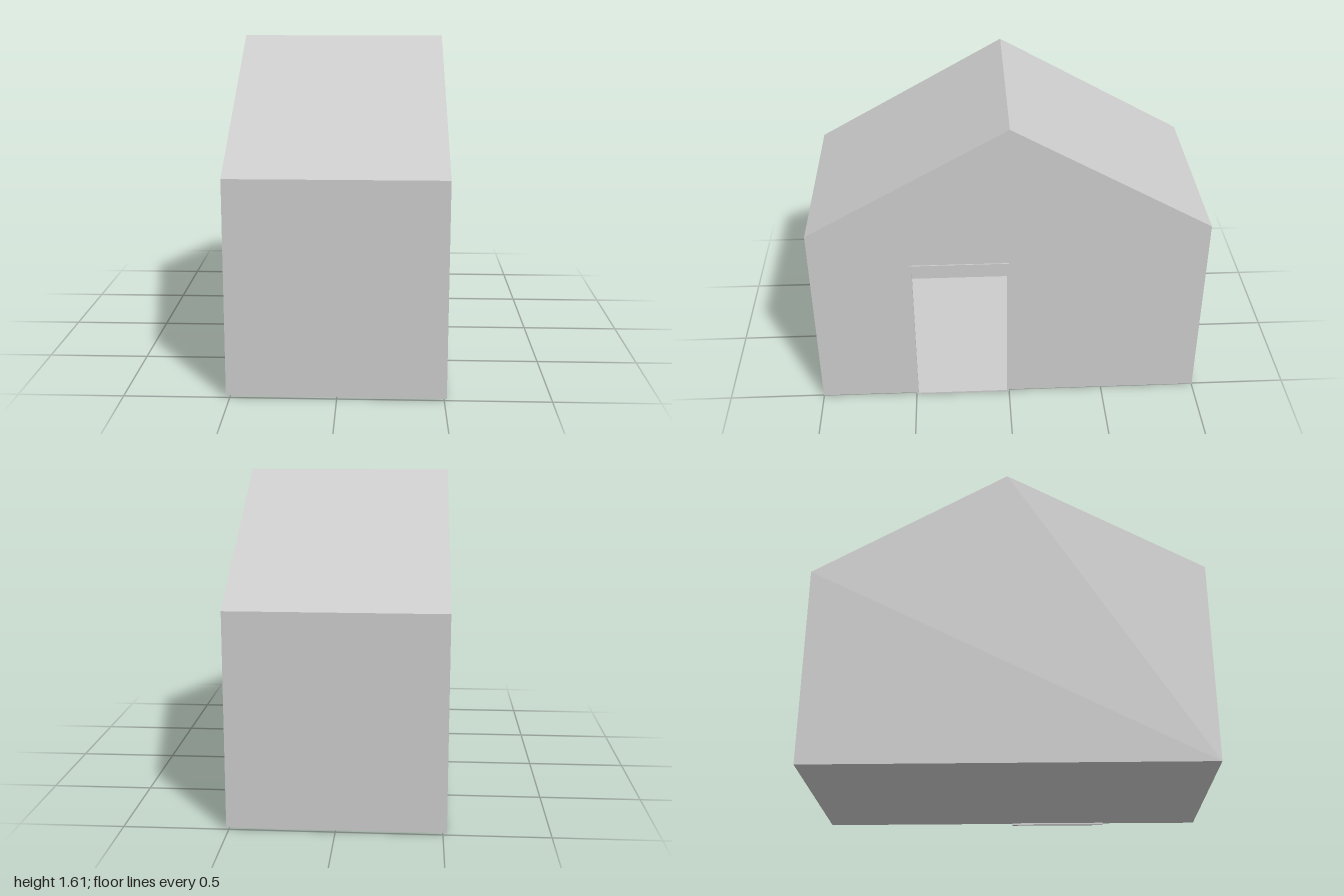
import * as THREE from 'three';

const LEFT = 0.512, RIGHT = -0.518;   // x of the two gable walls
const FLOOR = 0.009, EAVE = 1.043, RIDGE = 1.61;

export function createModel() {
  const house = new THREE.Group();
  house.name = 'house';
  const shellMat = new THREE.MeshStandardMaterial({ color: 0xcccccc, side: THREE.DoubleSide });
  const frameMat = new THREE.MeshStandardMaterial({ color: 0xcccccc });

  // Everything is drawn in the gable plane (u = -z, y), then turned to face +x
  const add = (name, geometry, material) => {
    geometry.rotateY(Math.PI / 2);
    const mesh = new THREE.Mesh(geometry, material);
    mesh.name = name;
    house.add(mesh);
  };
  const rect = (u0, y0, u1, y1) => [[u0, y0], [u1, y0], [u1, y1], [u0, y1]].map(p => new THREE.Vector2(...p));

  const profile = [[-1, FLOOR], [1, FLOOR], [1, EAVE], [0, RIDGE], [-1, EAVE]].map(p => new THREE.Vector2(...p));

  // Thin floor, end walls and roof slopes: one flat panel per profile edge
  ['floor', 'backWall', 'backRoof', 'frontRoof', 'frontWall'].forEach((name, i) => {
    const a = profile[i], b = profile[(i + 1) % profile.length];
    const corners = [[a, RIGHT], [b, RIGHT], [b, LEFT], [a, LEFT]].map(([p, w]) => new THREE.Vector3(p.x, p.y, w));
    const panel = new THREE.BufferGeometry().setFromPoints([0, 1, 2, 0, 2, 3].map(k => corners[k]));
    panel.computeVertexNormals();
    add(name, panel, shellMat);
  });

  // Plain gable wall
  const plainGable = new THREE.ShapeGeometry(new THREE.Shape(profile));
  plainGable.translate(0, 0, RIGHT);
  add('plainGable', plainGable, shellMat);

  // Gable wall with the doorway notched out of its foot
  const notch = [[-0.49, FLOOR], [-0.49, 0.843], [-0.012, 0.843], [-0.012, FLOOR]].map(p => new THREE.Vector2(...p));
  const doorGable = new THREE.ShapeGeometry(new THREE.Shape([profile[0], ...notch, ...profile.slice(1)]));
  doorGable.translate(0, 0, LEFT);
  add('doorGable', doorGable, shellMat);

  // Slim frame around the doorway, standing just proud of the wall
  const ring = new THREE.Shape(rect(-0.5, 0, -0.002, 0.855));
  ring.holes.push(new THREE.Path(rect(-0.49, 0.01, -0.012, 0.843)));
  const frame = new THREE.ExtrudeGeometry(ring, { depth: 0.018, bevelEnabled: false });
  frame.translate(0, 0, 0.5);
  add('doorFrame', frame, frameMat);

  return house;
}
